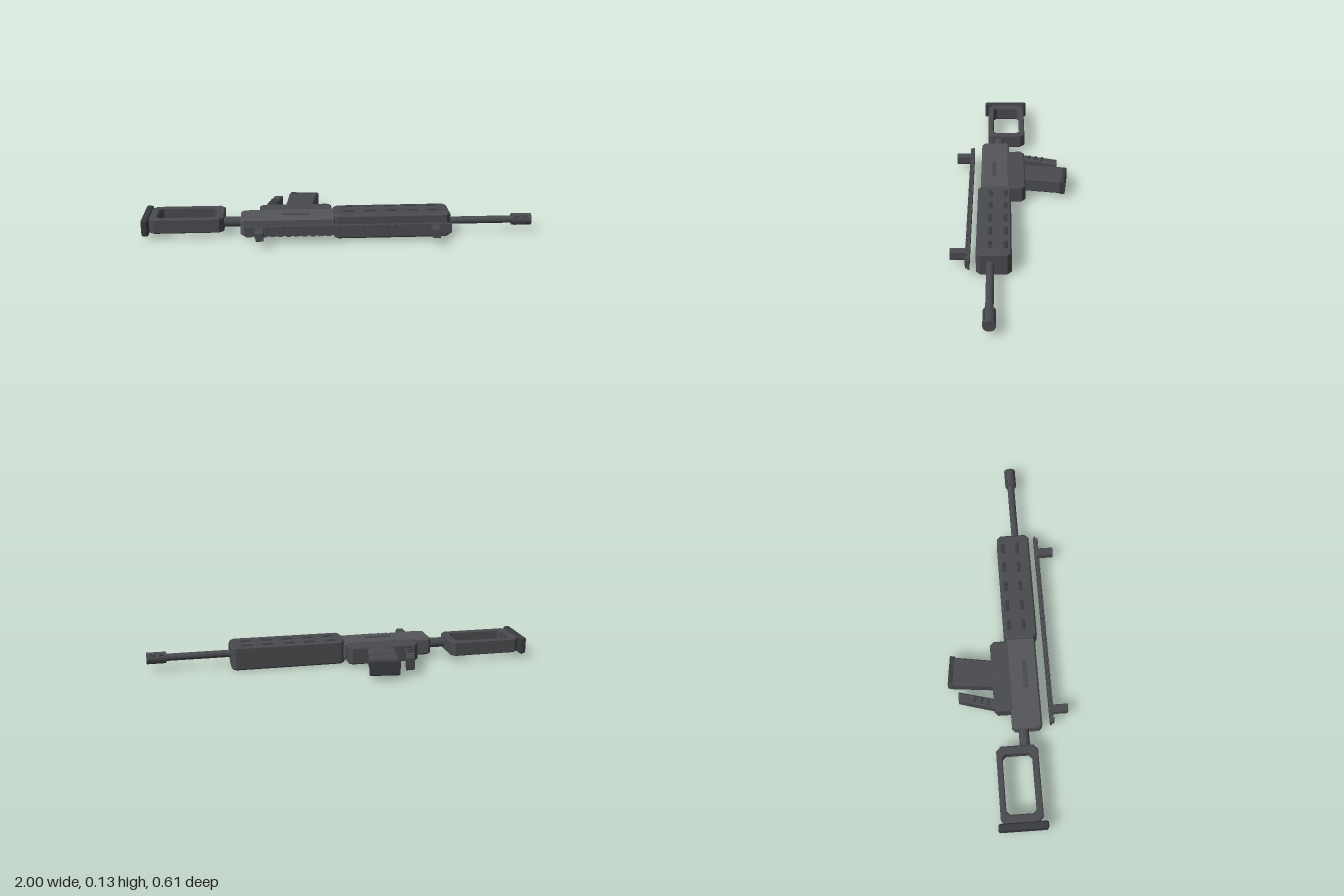
import * as THREE from 'three';

const paint = (color) => new THREE.MeshStandardMaterial({ color, flatShading: true });
const BODY = paint(0x4a4b4f), LIGHT = paint(0x54555a), DARK = paint(0x3a3b3f);
const ROUND = new THREE.MeshStandardMaterial({ color: 0x4a4b4f });

// Rectangle outline in x/z with cut corners
function cutRect(x0, x1, z0, z1, c) {
  return [[x0 + c, z0], [x1 - c, z0], [x1, z0 + c], [x1, z1 - c],
    [x1 - c, z1], [x0 + c, z1], [x0, z1 - c], [x0, z0 + c]];
}
const toPoints = (list) => list.map(([x, z]) => new THREE.Vector2(x, z));

export function createModel() {
  const root = new THREE.Group();

  function add(name, geometry, material, parent = root) {
    const mesh = new THREE.Mesh(geometry, material);
    mesh.name = name;
    parent.add(mesh);
    return mesh;
  }
  // Flat outline in x/z, extruded from y0 to y1 with chamfered rims
  function slab(name, outline, y0, y1, bevel, material = BODY, hole = null) {
    const shape = new THREE.Shape(toPoints(outline));
    if (hole) shape.holes.push(new THREE.Path(toPoints(hole)));
    const g = new THREE.ExtrudeGeometry(shape, {
      depth: y1 - y0 - 2 * bevel, bevelEnabled: bevel > 0,
      bevelThickness: bevel, bevelSize: bevel, bevelOffset: -bevel, bevelSegments: 1,
    });
    g.rotateX(Math.PI / 2).translate(0, y1 - bevel, 0);
    return add(name, g, material);
  }
  function box(name, x0, x1, y0, y1, z0, z1, material = BODY, parent = root) {
    const m = add(name, new THREE.BoxGeometry(x1 - x0, y1 - y0, z1 - z0), material, parent);
    m.position.set((x0 + x1) / 2, (y0 + y1) / 2, (z0 + z1) / 2);
    return m;
  }
  // Round bar running along x
  function bar(name, x0, x1, y, z, r, material = ROUND) {
    const g = new THREE.CylinderGeometry(r, r, x1 - x0, 20).rotateZ(Math.PI / 2);
    add(name, g, material).position.set((x0 + x1) / 2, y, z);
  }

  // Main bodies
  slab('receiver', cutRect(-0.5, -0.01, 0.01, 0.162, 0.016), 0.019, 0.111, 0.009, LIGHT);
  slab('lowerReceiver', [[-0.405, 0.03], [-0.405, -0.055], [-0.385, -0.074],
    [-0.05, -0.074], [-0.03, -0.055], [-0.03, 0.03]], 0.018, 0.11, 0.006);
  slab('handguard', cutRect(-0.025, 0.57, 0.003, 0.174, 0.02), 0.001, 0.126, 0.008);

  // Raised plates on the upper side
  slab('receiverPlate', cutRect(-0.29, -0.148, 0.083, 0.105, 0.004), 0.105, 0.116, 0.002);
  for (const z of [0.031, 0.108]) {
    for (let i = 0; i < 5; i++) {
      const x = 0.05 + i * 0.11;
      slab('handguardSlot', cutRect(x - 0.029, x + 0.029, z - 0.01, z + 0.01, 0.006),
        0.12, 0.13, 0.002, DARK);
    }
  }

  // Stock
  slab('stockFrame', cutRect(-0.965, -0.585, -0.08, 0.13, 0.024), 0.03, 0.107, 0.005, BODY,
    cutRect(-0.925, -0.625, -0.05, 0.1, 0.018));
  slab('buttPad', cutRect(-1, -0.965, -0.094, 0.152, 0.007), 0.024, 0.111, 0.006, DARK);
  bar('stockTube', -0.6, -0.49, 0.068, 0.067, 0.026);

  // Barrel and muzzle
  bar('barrel', 0.56, 0.91, 0.066, 0.105, 0.019);
  bar('muzzle', 0.9, 1, 0.066, 0.105, 0.03);
  for (let i = 0; i < 4; i++) {
    const a = i * Math.PI / 2 + Math.PI / 4;
    for (const x of [0.925, 0.967]) {
      const vent = add('muzzleVent', new THREE.BoxGeometry(0.026, 0.004, 0.01), DARK);
      vent.position.set(x, 0.066 + 0.0295 * Math.cos(a), 0.105 + 0.0295 * Math.sin(a));
      vent.rotation.x = a;
    }
  }

  // Magazine, with thin bands across it
  slab('magazine', [[-0.27, -0.06], [-0.13, -0.06], [-0.095, -0.285],
    [-0.243, -0.302], [-0.247, -0.29]], 0.025, 0.103, 0.006);
  slab('magazineBase', [[-0.248, -0.277], [-0.241, -0.304], [-0.088, -0.285],
    [-0.093, -0.258]], 0.024, 0.104, 0.006, DARK);
  slab('magazineBand', [[-0.252, -0.185], [-0.252, -0.191], [-0.112, -0.182],
    [-0.112, -0.176]], 0.1, 0.1055, 0);

  // Slanted grip
  slab('grip', [[-0.385, -0.065], [-0.335, -0.065], [-0.285, -0.252],
    [-0.332, -0.252]], 0.029, 0.1, 0.006);
  for (let i = 0; i < 3; i++) {
    const z = -0.1 - i * 0.035, x = -0.35 - (z + 0.1) * 0.27;
    const rib = box('gripRib', x - 0.016, x + 0.016, 0.098, 0.106, z - 0.005, z + 0.005, DARK);
    rib.rotation.y = -0.26;
  }

  // Toothed rail with its two end posts
  const rail = new THREE.Group();
  rail.name = 'rail';
  root.add(rail);
  box('railBase', -0.475, 0.57, 0.037, 0.09, 0.204, 0.214, BODY, rail);
  const count = 26, pitch = 1.045 / count;
  for (let i = 0; i < count; i++) {
    const x = -0.475 + i * pitch;
    box('railTooth', x + 0.006, x + 0.03, 0.037, 0.09, 0.213, 0.226, BODY, rail);
  }
  for (const x of [-0.401, 0.481]) {
    slab('sightPost', cutRect(x - 0.02, x + 0.02, 0.214, 0.301, 0.003), 0.042, 0.087, 0.002);
  }

  return root;
}
